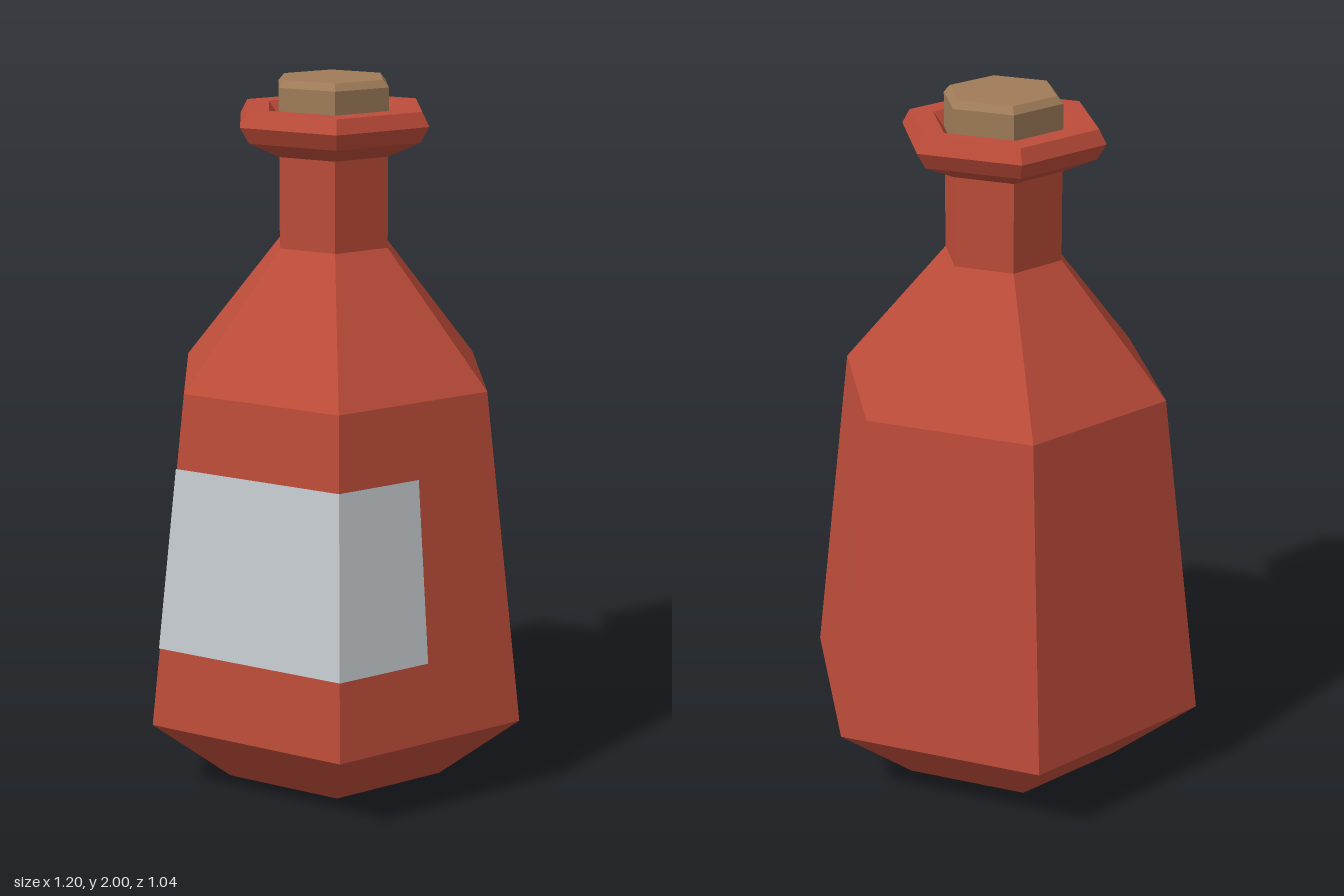
import * as THREE from 'three';

const SIDES = 6;

// Faceted six-sided solid from [radius, height] points, listed bottom to top, corners on the x axis
function hexLathe(profile) {
  const points = profile.map(([r, y]) => new THREE.Vector2(r, y));
  const geometry = new THREE.LatheGeometry(points, SIDES, Math.PI / 2).toNonIndexed();
  geometry.computeVertexNormals();
  return geometry;
}

// Outer radius of the tapered body wall at height y
const bodyRadius = (y) => THREE.MathUtils.mapLinear(y, 0.21, 1.16, 0.6, 0.483);

// Strip around the front face and half of each neighbouring face
function labelGeometry(bottom, top, lift) {
  const around = [[0.75, 0.433], [0.5, 0.866], [-0.5, 0.866], [-0.75, 0.433]];
  const at = ([x, z], y) => {
    const r = bodyRadius(y) + lift;
    return [x * r, y, z * r];
  };
  const positions = [];
  for (let i = 0; i < around.length - 1; i++) {
    const rightLow = at(around[i], bottom), rightHigh = at(around[i], top);
    const leftLow = at(around[i + 1], bottom), leftHigh = at(around[i + 1], top);
    positions.push(...leftLow, ...rightLow, ...rightHigh, ...leftLow, ...rightHigh, ...leftHigh);
  }
  const geometry = new THREE.BufferGeometry();
  geometry.setAttribute('position', new THREE.Float32BufferAttribute(positions, 3));
  geometry.computeVertexNormals();
  return geometry;
}

export function createModel() {
  const group = new THREE.Group();
  group.name = 'bottle';

  const material = (name, color) => {
    const m = new THREE.MeshStandardMaterial({ color });
    m.name = name;
    return m;
  };
  const redGlass = material('red glass', 0xbd4c39);
  const paper = material('grey paper', 0xc6ccd0);
  const corkBrown = material('cork brown', 0xa07c59);

  const add = (name, geometry, mat) => {
    const mesh = new THREE.Mesh(geometry, mat);
    mesh.name = name;
    group.add(mesh);
  };

  // Base, tapered body, shoulder and neck
  add('body', hexLathe([[0, 0], [0.35, 0], [0.6, 0.21], [0.483, 1.16], [0.172, 1.535], [0.172, 1.79]]), redGlass);

  // Flared lip with a bevelled mouth
  add('lip', hexLathe([
    [0.172, 1.79], [0.27, 1.835], [0.297, 1.88], [0.275, 1.92], [0.205, 1.92], [0.165, 1.87], [0, 1.87],
  ]), redGlass);

  // Stopper with a bevelled top edge
  add('cork', hexLathe([[0.173, 1.86], [0.173, 1.98], [0.155, 2], [0, 2]]), corkBrown);

  add('label', labelGeometry(0.435, 0.95, 0.003), paper);

  return group;
}
